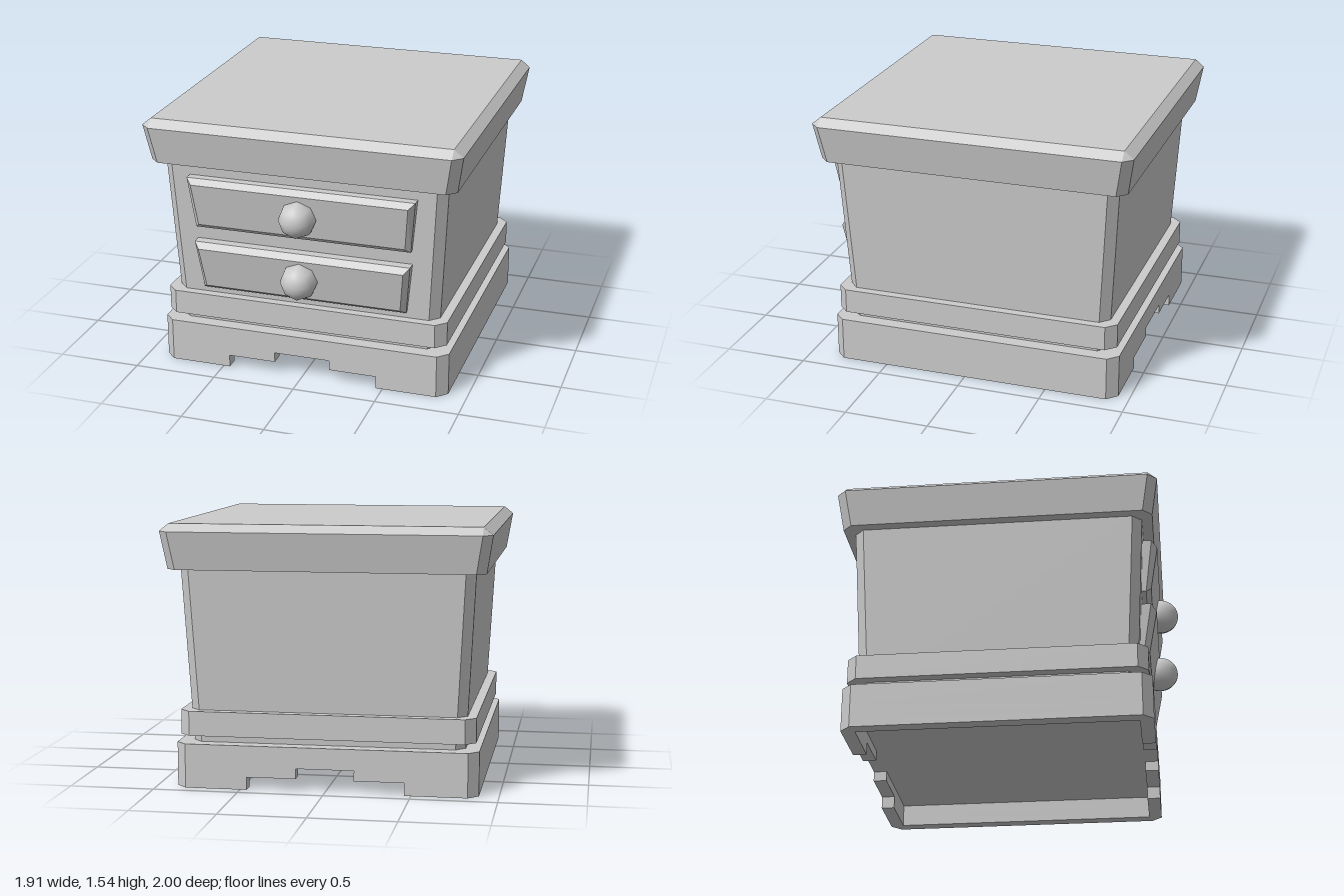
import * as THREE from 'three';

const material = new THREE.MeshStandardMaterial({ color: 0xcccccc });
const CZ = -0.045; // the cabinet sits slightly back to leave room for the knobs

function add(parent, name, geometry) {
  const mesh = new THREE.Mesh(geometry, material);
  mesh.name = name;
  parent.add(mesh);
  return mesh;
}

// Closed, flat-faced solid through rings of equal length (counter-clockwise about the stacking direction)
function loft(rings) {
  const pos = [];
  const tri = (a, b, c) => {
    const area = b.clone().sub(a).cross(c.clone().sub(a)).length();
    if (area > 1e-8) for (const p of [a, b, c]) pos.push(p.x, p.y, p.z);
  };
  const n = rings[0].length;
  for (let r = 0; r < rings.length - 1; r++) {
    const lo = rings[r], hi = rings[r + 1];
    for (let i = 0; i < n; i++) {
      const j = (i + 1) % n;
      tri(lo[i], lo[j], hi[j]);
      tri(lo[i], hi[j], hi[i]);
    }
  }
  const first = rings[0], last = rings[rings.length - 1];
  for (let i = 1; i < n - 1; i++) {
    tri(first[0], first[i + 1], first[i]);
    tri(last[0], last[i], last[i + 1]);
  }
  const g = new THREE.BufferGeometry();
  g.setAttribute('position', new THREE.Float32BufferAttribute(pos, 3));
  g.computeVertexNormals();
  return g;
}

// Square ring of half width h at height y, with corners cut by c
function squareRing(y, h, c) {
  const k = h - c;
  return [[-k, h], [k, h], [h, k], [h, -k], [k, -h], [-k, -h], [-h, -k], [-h, k]]
    .map(([x, z]) => new THREE.Vector3(x, y, z));
}

// Upright trapezoid: bottom and top edges given as [half width, y, z]
function trapezoidRing([bw, by, bz], [tw, ty, tz]) {
  return [[-bw, by, bz], [bw, by, bz], [tw, ty, tz], [-tw, ty, tz]]
    .map((p) => new THREE.Vector3(...p));
}

// C-shaped wall around one side of the base, ending at x0 on the front and back
function footGeometry(side, x0, height) {
  const h = 0.885, k = h - 0.06, i = h - 0.08;
  const plan = [[x0, h], [k, h], [h, k], [h, -k], [k, -h], [x0, -h], [x0, -i], [i, -i], [i, i], [x0, i]];
  const shape = new THREE.Shape(plan.map(([x, z]) => new THREE.Vector2(side * x, z)));
  return new THREE.ExtrudeGeometry(shape, { depth: height, bevelEnabled: false }).rotateX(-Math.PI / 2);
}

export function createModel() {
  const model = new THREE.Group();
  model.name = 'nightstand';

  const cabinet = new THREE.Group();
  cabinet.name = 'cabinet';
  cabinet.position.z = CZ;
  model.add(cabinet);

  // Tapered body, moulding, base and flared top
  add(cabinet, 'body', loft([squareRing(0.25, 0.8, 0.055), squareRing(1.3, 0.857, 0.055)]));
  add(cabinet, 'moulding', loft([squareRing(0.305, 0.865, 0.06), squareRing(0.45, 0.865, 0.06)]));
  add(cabinet, 'base', loft([squareRing(0.135, 0.885, 0.06), squareRing(0.26, 0.885, 0.06)]));
  add(cabinet, 'top', loft([
    squareRing(1.28, 0.918, 0.055), squareRing(1.5, 0.955, 0.055), squareRing(1.545, 0.9, 0),
  ]));

  // Hollow plinth with a stepped opening at front and back
  for (const side of [1, -1]) {
    const name = side > 0 ? 'left' : 'right';
    add(cabinet, name + 'Foot', footGeometry(side, 0.46, 0.075));
    add(cabinet, name + 'FootStep', footGeometry(side, 0.17, 0.06)).position.y = 0.075;
  }

  // Bevelled drawer fronts: outer edge and raised face, each as bottom and top [half width, y, z]
  const drawers = [
    { name: 'upperDrawer', outer: [[0.655, 0.885, 0.818], [0.688, 1.205, 0.86]],
      face: [[0.628, 0.912, 0.848], [0.653, 1.172, 0.893]], knob: [1.035, 0.89] },
    { name: 'lowerDrawer', outer: [[0.625, 0.49, 0.79], [0.658, 0.8, 0.843]],
      face: [[0.598, 0.515, 0.826], [0.625, 0.765, 0.875]], knob: [0.64, 0.873] },
  ];
  for (const { name, outer, face, knob } of drawers) {
    const drawer = new THREE.Group();
    drawer.name = name;
    const back = outer.map(([w, y]) => [w, y, 0.74]);
    add(drawer, 'drawerFront', loft([back, outer, face].map((r) => trapezoidRing(...r))));
    const ball = new THREE.SphereGeometry(0.11, 8, 24).rotateX(Math.PI / 2);
    add(drawer, 'knob', ball).position.set(0, knob[0], knob[1]);
    model.add(drawer);
  }
  return model;
}
